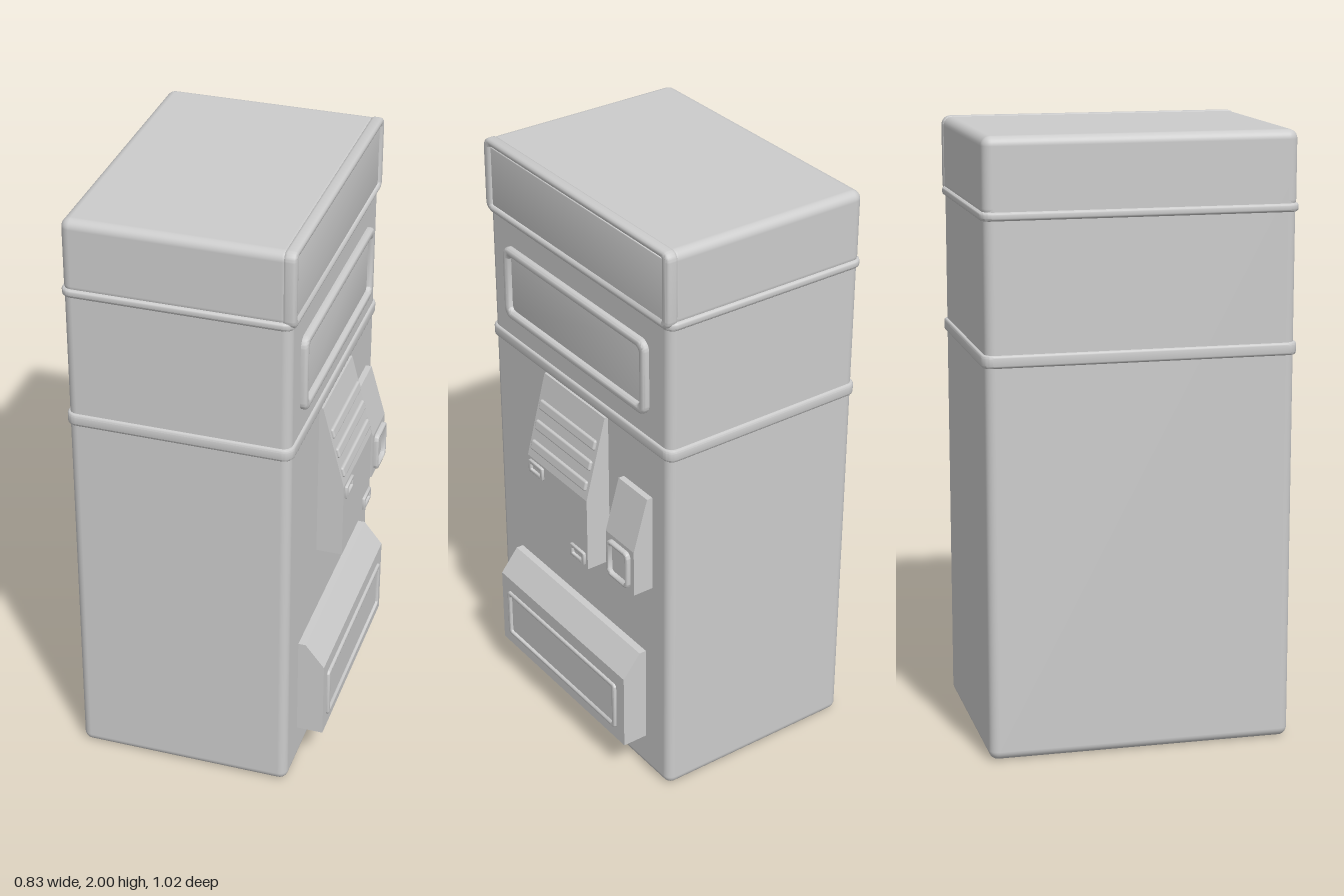
import * as THREE from 'three';
import { RoundedBoxGeometry } from 'three/addons/geometries/RoundedBoxGeometry.js';
import { toCreasedNormals } from 'three/addons/utils/BufferGeometryUtils.js';

const material = new THREE.MeshStandardMaterial({ color: 0xcccccc });

function roundedRect(path, w, h, r) {
  const x = w / 2, y = h / 2;
  path.moveTo(-x + r, -y);
  path.lineTo(x - r, -y);
  path.absarc(x - r, -y + r, r, -Math.PI / 2, 0);
  path.lineTo(x, y - r);
  path.absarc(x - r, y - r, r, 0, Math.PI / 2);
  path.lineTo(-x + r, y);
  path.absarc(-x + r, y - r, r, Math.PI / 2, Math.PI);
  path.lineTo(-x, -y + r);
  path.absarc(-x + r, -y + r, r, Math.PI, Math.PI * 1.5);
  return path;
}

// Rounded slab from z = 0 to depth with bevelled rims; hole = [w, h, r] makes it a frame
function slab(w, h, r, depth, bevel, hole) {
  const shape = roundedRect(new THREE.Shape(), w, h, r);
  if (hole) shape.holes.push(roundedRect(new THREE.Path(), ...hole));
  const g = new THREE.ExtrudeGeometry(shape, {
    depth: depth - 2 * bevel, bevelEnabled: true, bevelThickness: bevel,
    bevelSize: bevel, bevelOffset: -bevel, bevelSegments: 3, curveSegments: 5,
  });
  g.translate(0, 0, bevel);
  return toCreasedNormals(g, 0.7);
}

export function createModel() {
  const model = new THREE.Group();
  model.name = 'vendingMachine';

  function add(name, geometry, x = 0, y = 0, z = 0, parent = model) {
    const mesh = new THREE.Mesh(geometry, material);
    mesh.name = name;
    mesh.position.set(x, y, z);
    parent.add(mesh);
    return mesh;
  }
  // Slab lying on the service face (+x), given by its z and y ranges
  function facing(name, z0, z1, y0, y1, x0, x1, r, bevel, hole) {
    const g = slab(z1 - z0, y1 - y0, r, x1 - x0, bevel, hole);
    g.rotateY(Math.PI / 2);
    return add(name, g, x0, (y0 + y1) / 2, (z0 + z1) / 2);
  }
  // Side profile in x, y swept across z
  function housing(name, points, z0, z1) {
    const shape = new THREE.Shape(points.map((p) => new THREE.Vector2(...p)));
    const g = new THREE.ExtrudeGeometry(shape, { depth: z1 - z0, bevelEnabled: false });
    return add(name, g, 0, 0, z0);
  }

  // Cabinet
  add('cabinet', new RoundedBoxGeometry(0.725, 1.85, 1, 4, 0.03), -0.0475, 0.925, 0);

  // Top cap with a framed sign panel
  add('topCap', new RoundedBoxGeometry(0.722, 0.25, 1.006, 4, 0.03), -0.049, 1.873, 0);
  facing('signFrame', -0.505, 0.505, 1.745, 2, 0.285, 0.327, 0.03, 0.012, [0.94, 0.205, 0.004]);
  facing('signPanel', -0.48, 0.48, 1.755, 1.97, 0.29, 0.318, 0.004, 0.002);

  // Trim bands around the cabinet
  for (const [name, y0, y1] of [['upperBand', 1.74, 1.768], ['lowerBand', 1.283, 1.325]]) {
    const g = slab(0.74, 1.02, 0.035, y1 - y0, 0.009);
    g.rotateX(-Math.PI / 2);
    add(name, g, -0.047, y0, 0);
  }

  // Display window
  facing('windowFrame', -0.395, 0.4, 1.4, 1.66, 0.3, 0.336, 0.035, 0.011, [0.735, 0.2, 0.018]);
  facing('windowPane', -0.38, 0.38, 1.42, 1.65, 0.3, 0.319, 0.02, 0.002);

  // Coin unit with sloping top
  housing('coinUnit', [[0.3, 0.735], [0.402, 0.735], [0.402, 1.0], [0.328, 1.285], [0.3, 1.285]], -0.17, 0.175);
  const slope = Math.atan2(0.074, 0.285);
  for (const y of [1.185, 1.115, 1.045]) {
    const x = 0.402 - (y - 1.0) * 0.074 / 0.285;
    const rib = add('selectionRib', new RoundedBoxGeometry(0.018, 0.035, 0.32, 2, 0.007), x, y, 0.002);
    rib.rotation.z = slope;
  }
  for (const [name, z, y] of [['coinSlot', 0.12, 0.97], ['coinReturn', -0.118, 0.77]]) {
    facing(name, z - 0.041, z + 0.041, y - 0.023, y + 0.023, 0.395, 0.411, 0.006, 0.003, [0.054, 0.02, 0.003]);
  }

  // Narrow payment unit
  housing('paymentUnit', [[0.3, 0.765], [0.387, 0.765], [0.387, 0.93], [0.335, 1.11], [0.3, 1.11]], -0.41, -0.255);
  facing('paymentFrame', -0.392, -0.275, 0.78, 0.916, 0.375, 0.402, 0.02, 0.006, [0.088, 0.105, 0.012]);

  // Delivery bin with flap
  housing('deliveryBin', [[0.3, 0.135], [0.404, 0.135], [0.404, 0.41], [0.34, 0.49], [0.3, 0.49]], -0.372, 0.372);
  facing('flapFrame', -0.328, 0.33, 0.18, 0.36, 0.395, 0.413, 0.012, 0.005, [0.622, 0.15, 0.006]);

  return model;
}
